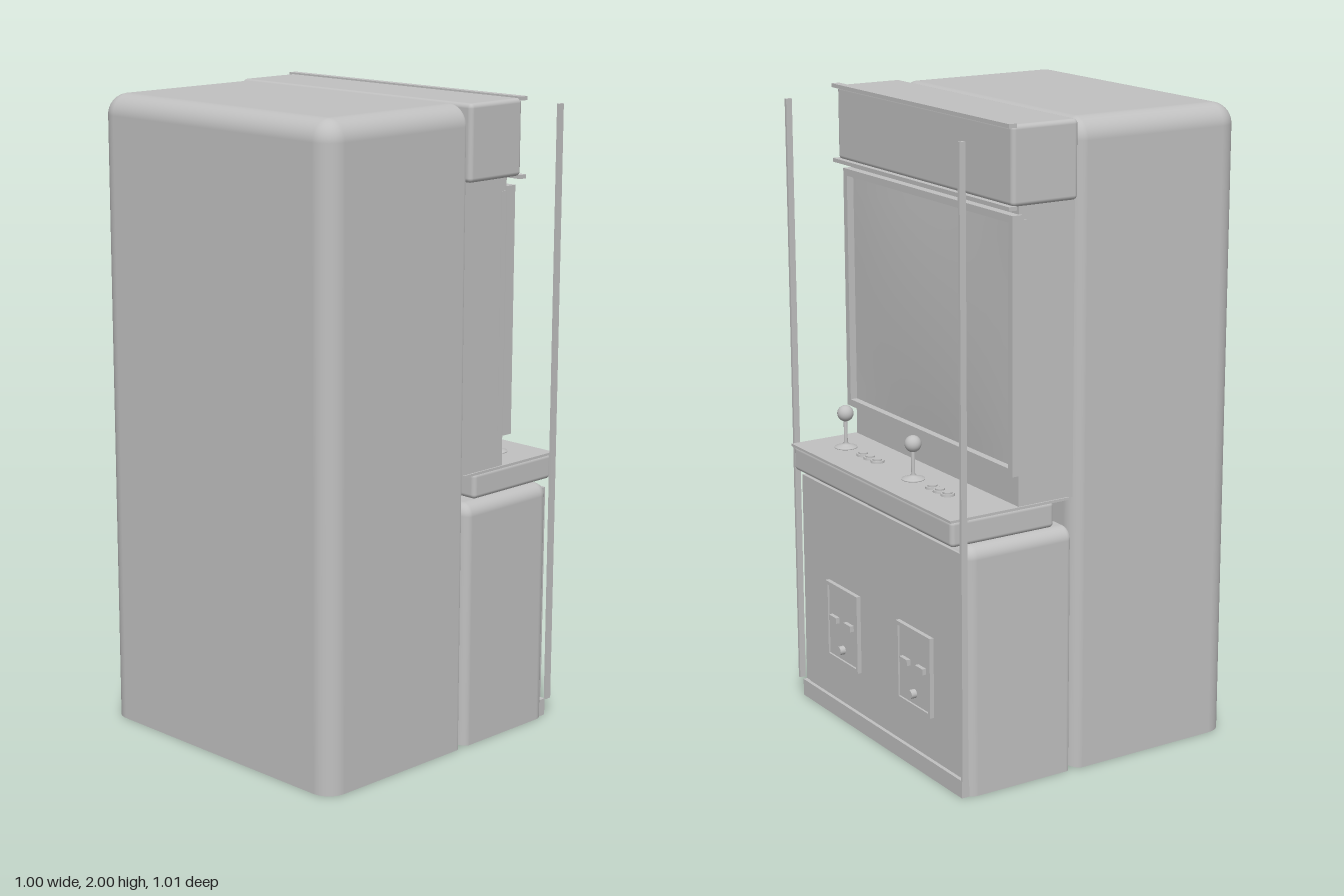
import * as THREE from 'three';
import { RoundedBoxGeometry } from 'three/addons/geometries/RoundedBoxGeometry.js';

const grey = new THREE.MeshStandardMaterial({ color: 0xc0c0c0 });
grey.name = 'cabinetGrey';

export function createModel() {
  const root = new THREE.Group();
  root.name = 'arcadeCabinet';

  const add = (name, geometry, parent = root) => {
    const mesh = new THREE.Mesh(geometry, grey);
    mesh.name = name;
    parent.add(mesh);
    return mesh;
  };

  // Box given by its limits on each axis, with optional rounding
  const box = (name, [x0, x1], [y0, y1], [z0, z1], r = 0, parent = root) => {
    const size = [x1 - x0, y1 - y0, z1 - z0];
    const g = r ? new RoundedBoxGeometry(...size, 4, r) : new THREE.BoxGeometry(...size);
    g.translate((x0 + x1) / 2, (y0 + y1) / 2, (z0 + z1) / 2);
    return add(name, g, parent);
  };

  // Rounded box with a flat, sharp-edged bottom; squash tightens the rounding on its -z or +z side
  const flatBottomBox = (name, w, h, [z0, z1], r, squashSide, squash) => {
    const d = z1 - z0;
    const g = new RoundedBoxGeometry(w, h, d, 6, r);
    const p = g.attributes.position, n = g.attributes.normal;
    const floor = -h / 2 + r + 1e-5;
    for (let i = 0; i < p.count; i += 3) {
      const low = [0, 1, 2].every((k) => p.getY(i + k) < floor);
      for (let k = i; k < i + 3; k++) {
        if (low) n.setXYZ(k, 0, -1, 0);
      }
    }
    for (let i = 0; i < p.count; i++) {
      if (p.getY(i) < floor) p.setY(i, -h / 2);
      const over = p.getZ(i) * squashSide - (d / 2 - r);
      if (over > 0) p.setZ(i, squashSide * (d / 2 - r * squash + over * squash));
    }
    g.translate(0, h / 2, (z0 + z1) / 2);
    return add(name, g);
  };

  // Rectangular frame with an open middle, facing -z
  const frame = (name, w, h, border, depth, x, y, z, parent = root) => {
    const rect = (target, a, b) => target.moveTo(-a, -b).lineTo(a, -b).lineTo(a, b).lineTo(-a, b).closePath();
    const shape = rect(new THREE.Shape(), w / 2, h / 2);
    shape.holes.push(rect(new THREE.Path(), w / 2 - border, h / 2 - border));
    const g = new THREE.ExtrudeGeometry(shape, { depth, bevelEnabled: false });
    g.translate(x, y, z);
    return add(name, g, parent);
  };

  // Main shell and lower base
  flatBottomBox('mainBody', 0.994, 1.995, [-0.08, 0.505], 0.065, -1, 0.5);
  flatBottomBox('lowerBase', 0.99, 0.78, [-0.465, -0.085], 0.04, 1, 0.6);
  box('frontPanel', [-0.475, 0.475], [0.06, 0.76], [-0.469, -0.45]);
  box('kickPlate', [-0.485, 0.485], [0, 0.055], [-0.477, -0.44]);

  // Marquee with trim rails
  box('marquee', [-0.495, 0.495], [1.762, 1.995], [-0.305, -0.078], 0.014);
  for (const y of [1.76, 1.994]) {
    box('marqueeTrim', [-0.5, 0.5], [y - 0.006, y + 0.006], [-0.32, -0.293]);
  }

  // Screen housing, bezel and gently domed screen
  box('screenHousing', [-0.47, 0.47], [0.865, 1.765], [-0.267, -0.07]);
  box('bezelBacking', [-0.474, 0.474], [0.98, 1.72], [-0.262, -0.243]);
  frame('screenBezel', 0.96, 0.77, 0.022, 0.035, 0, 1.35, -0.295);
  const screen = new THREE.PlaneGeometry(0.92, 0.73, 16, 16);
  const sp = screen.attributes.position;
  for (let i = 0; i < sp.count; i++) {
    const u = sp.getX(i) / 0.46, v = sp.getY(i) / 0.365;
    sp.setZ(i, 0.014 * (1 - u * u) * (1 - v * v));
  }
  screen.computeVertexNormals();
  screen.rotateY(Math.PI);
  screen.translate(0, 1.35, -0.272);
  add('screen', screen);

  // Control panel
  box('controlPanel', [-0.472, 0.472], [0.782, 0.864], [-0.5, -0.14], 0.014);
  box('controlPlate', [-0.475, 0.475], [0.86, 0.868], [-0.505, -0.09]);

  // One set of joystick and buttons for each player
  for (const x of [-0.065, 0.345]) {
    const player = new THREE.Group();
    player.name = 'playerControls';
    player.position.set(x, 0.867, -0.38);
    root.add(player);

    const stick = [[0, 0], [0.036, 0], [0.036, 0.004], [0.024, 0.008], [0.012, 0.012], [0.006, 0.018], [0.006, 0.1], [0, 0.1]];
    add('joystickShaft', new THREE.LatheGeometry(stick.map((q) => new THREE.Vector2(...q)), 24), player);
    add('joystickBall', new THREE.SphereGeometry(0.026, 24, 16), player).position.y = 0.113;

    for (const dx of [-0.11, -0.153, -0.196]) {
      add('buttonCollar', new THREE.CylinderGeometry(0.021, 0.022, 0.008, 24), player).position.set(dx, 0.004, 0);
      add('buttonCap', new THREE.CylinderGeometry(0.015, 0.015, 0.013, 24), player).position.set(dx, 0.0065, 0);
    }
  }

  // Coin doors
  for (const x of [-0.22, 0.213]) {
    const door = new THREE.Group();
    door.name = 'coinDoor';
    door.position.x = x;
    root.add(door);
    box('doorPlate', [-0.088, 0.088], [0.21, 0.44], [-0.477, -0.46], 0, door);
    frame('doorFrame', 0.196, 0.255, 0.012, 0.02, 0, 0.325, -0.483, door);
    for (const s of [-0.045, 0.045]) {
      box('coinSlot', [s - 0.022, s + 0.022], [0.328, 0.347], [-0.49, -0.47], 0, door);
    }
    const knob = add('returnKnob', new THREE.CylinderGeometry(0.014, 0.014, 0.025, 20), door);
    knob.rotation.x = Math.PI / 2;
    knob.position.set(0, 0.245, -0.483);
  }

  // Slim upright rails at both sides
  for (const s of [-1, 1]) {
    box('sideRail', [s * 0.497 - 0.005, s * 0.497 + 0.005], [0.06, 1.965], [-0.485, -0.465]);
  }

  return root;
}
